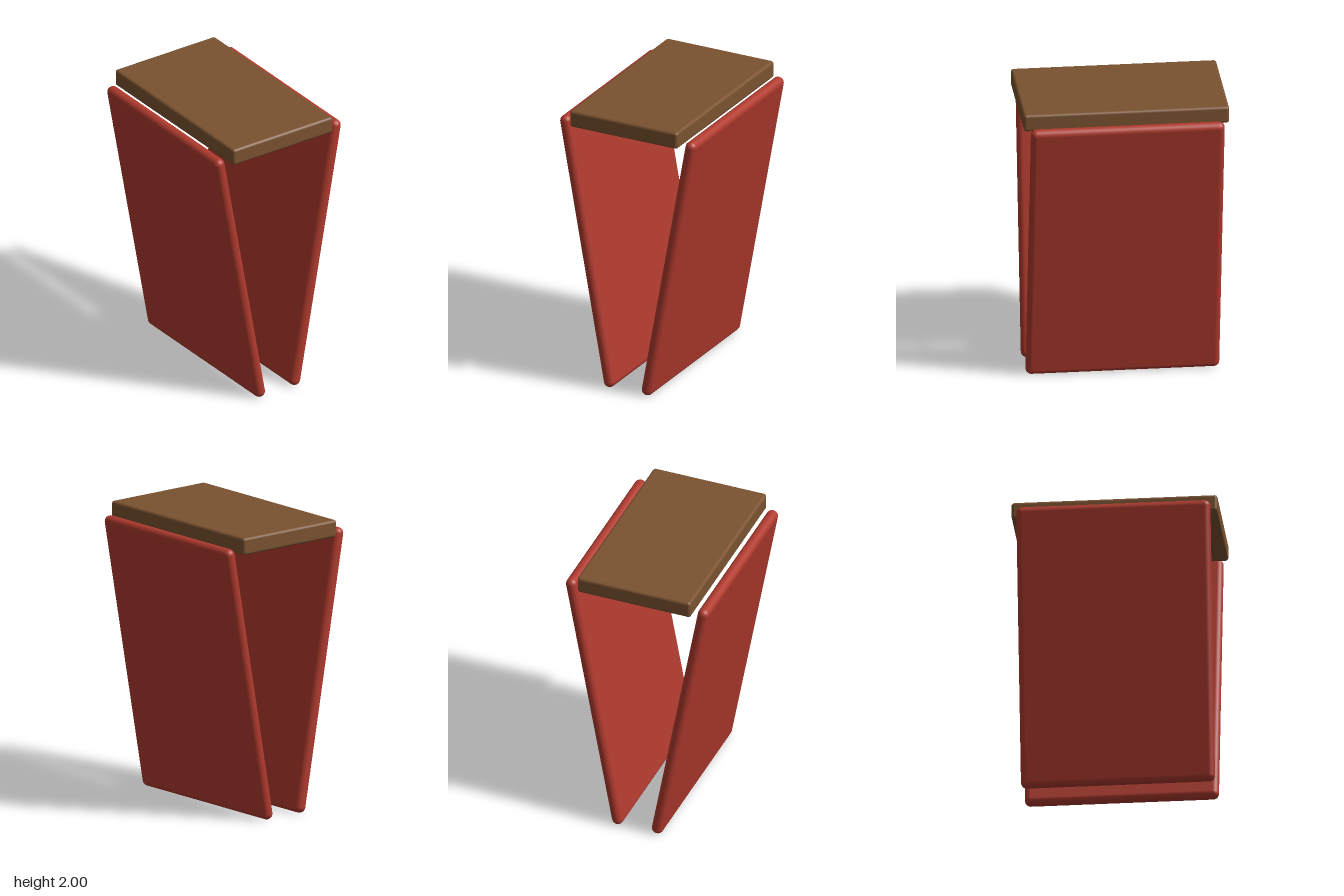
import * as THREE from 'three';
import { RoundedBoxGeometry } from 'three/addons/geometries/RoundedBoxGeometry.js';

export function createModel() {
  const model = new THREE.Group();
  const red = new THREE.MeshStandardMaterial({ color: 0xb03a2e });
  red.name = 'red';
  const brown = new THREE.MeshStandardMaterial({ color: 0x7a5230 });
  brown.name = 'brown';

  // Flat top slab with softly rounded edges
  const slab = new THREE.Mesh(new RoundedBoxGeometry(1.39, 0.12, 0.82, 4, 0.02), brown);
  slab.name = 'topSlab';
  slab.position.y = 1.94;
  model.add(slab);

  // Two fully rounded panels, spreading outward toward the top
  const lean = Math.atan2(0.333, 1.843);
  const panelGeometry = new RoundedBoxGeometry(1.31, 1.953, 0.08, 6, 0.0399);
  for (const side of [1, -1]) {
    const panel = new THREE.Mesh(panelGeometry, red);
    panel.name = side > 0 ? 'frontPanel' : 'backPanel';
    panel.position.set(0, 0.962, side * 0.311);
    panel.rotation.x = side * lean;
    model.add(panel);
  }

  return model;
}
